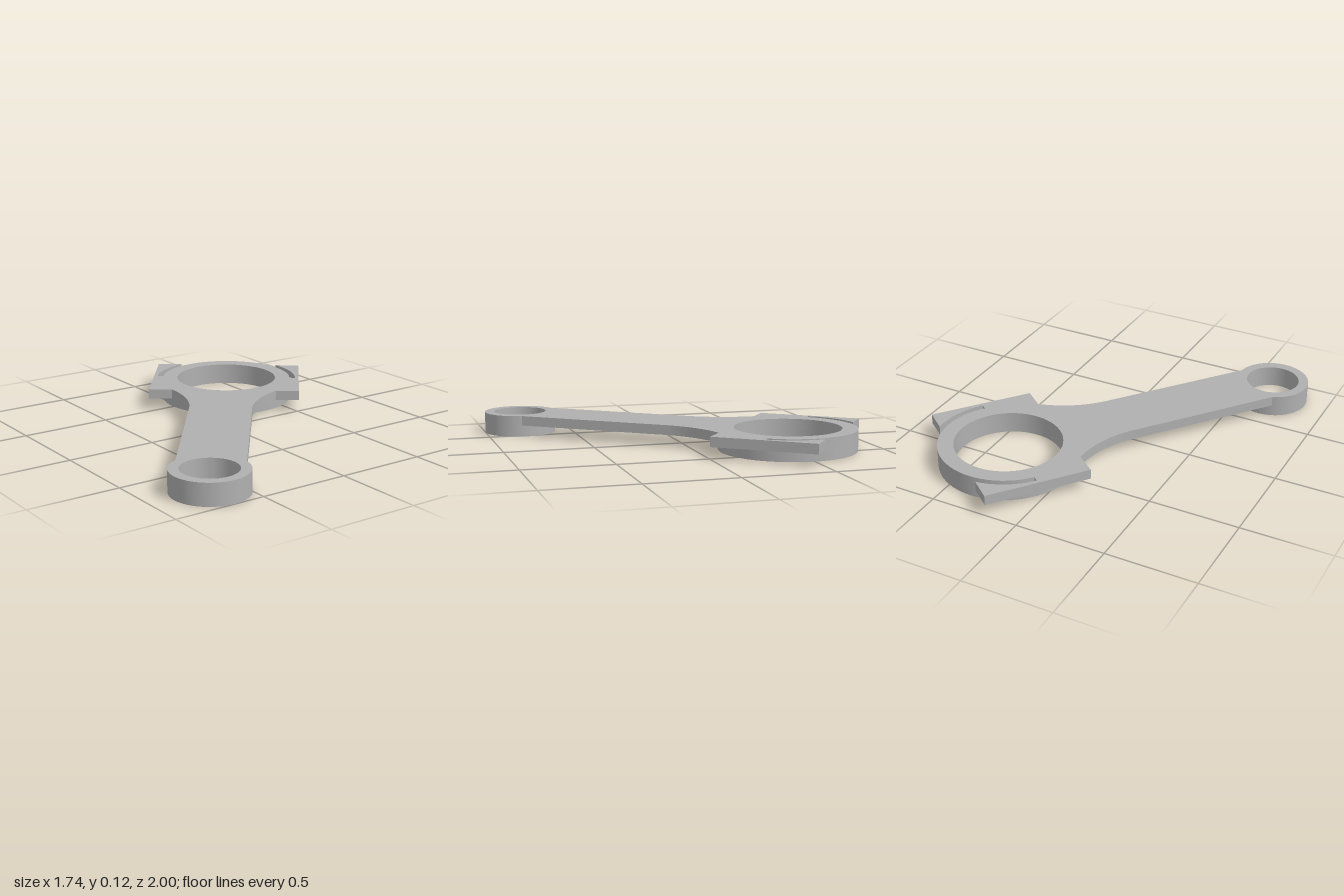
import * as THREE from 'three';
import { toCreasedNormals } from 'three/addons/utils/BufferGeometryUtils.js';

// Local frame: X runs along the rod with the big bore at 0, Y across it
const BIG = { x: 0, outer: 0.382, bore: 0.295 };
const SMALL = { x: -1.645, outer: 0.205, bore: 0.15 };
const TOP = 0.12, UNDER = 0.065, POCKET = 0.092;

const circle = (Type, x, r) => new Type().absarc(x, 0, r, 0, Math.PI * 2, false);

// Full plan outline: shank, shoulders, slotted bolt lugs and both eyes
function outline() {
  const half = 0.175, fillet = 0.59, sweep = 0.672, shankEnd = -0.659;
  const shoulder = 0.292, lug = 0.438, slot = 0.416, slotEnd = 0.794;
  const q = Math.PI / 2;
  const a = Math.asin(half / SMALL.outer);
  const s = new THREE.Shape();
  s.moveTo(SMALL.x + SMALL.outer * Math.cos(a), -half);
  s.lineTo(shankEnd, -half);
  s.absarc(shankEnd, -half - fillet, fillet, q, q - sweep, true);
  s.lineTo(-shoulder, -lug);
  s.lineTo(shoulder, -lug);
  s.absarc(0, 0, slot, -slotEnd, -q, true);
  s.absarc(0, 0, BIG.outer, -q, q, false);
  s.absarc(0, 0, slot, q, slotEnd, true);
  s.lineTo(shoulder, lug);
  s.lineTo(-shoulder, lug);
  s.absarc(shankEnd, half + fillet, fillet, sweep - q, -q, true);
  s.absarc(SMALL.x, 0, SMALL.outer, a, Math.PI * 2 - a, false);
  for (const e of [BIG, SMALL]) s.holes.push(circle(THREE.Path, e.x, e.bore));
  return s;
}

// Rounded-end recess in the underside of the shank
function pocket() {
  const r = 0.118, p = new THREE.Path();
  p.absarc(-0.668, 0, r, -Math.PI / 2, Math.PI / 2, false);
  p.absarc(-1.275, 0, r, Math.PI / 2, Math.PI * 1.5, false);
  p.closePath();
  return p;
}

export function createModel() {
  const steel = new THREE.MeshStandardMaterial({ color: 0xb0b0b0 });
  steel.name = 'steel grey';
  const rod = new THREE.Group();
  rod.name = 'connectingRod';

  const add = (name, shape, y0, y1) => {
    const g = new THREE.ExtrudeGeometry(shape, { depth: y1 - y0, bevelEnabled: false, curveSegments: 48 });
    g.rotateX(-Math.PI / 2).translate(0, y0, 0);
    const mesh = new THREE.Mesh(toCreasedNormals(g, 0.5), steel);
    mesh.name = name;
    rod.add(mesh);
  };

  // Plate: solid upper layer over a lower layer with the pocket cut through
  add('upperPlate', outline(), POCKET, TOP);
  const lower = outline();
  lower.holes.push(pocket());
  add('lowerPlate', lower, UNDER, POCKET);

  // Collars that carry both eyes down to the ground
  for (const [name, e] of [['bigEndCollar', BIG], ['smallEndCollar', SMALL]]) {
    const ring = circle(THREE.Shape, e.x, e.outer);
    ring.holes.push(circle(THREE.Path, e.x, e.bore));
    add(name, ring, 0, UNDER);
  }

  // Lay the rod diagonally
  rod.rotation.y = Math.atan2(1.295, 1.015);
  rod.position.set(0.345, 0, -0.5);
  const model = new THREE.Group();
  model.name = 'model';
  model.add(rod);
  return model;
}
